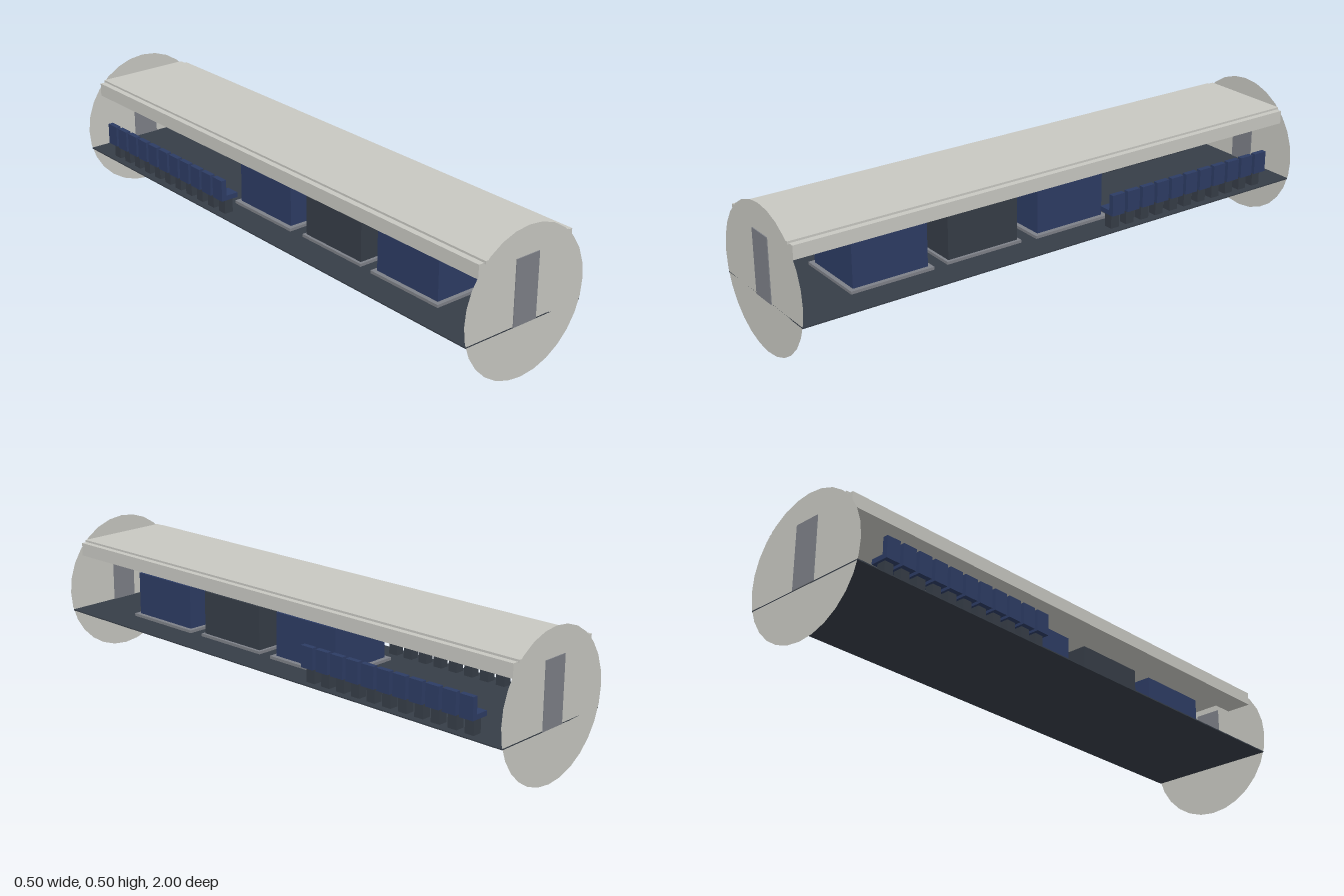
import * as THREE from 'three';

export function createModel() {
  const model = new THREE.Group();
  const mat = (name, color) => {
    const m = new THREE.MeshStandardMaterial({ color });
    m.name = name;
    return m;
  };
  const shell = mat('pale grey panel', 0xc8c8c2);
  const blue = mat('navy blue', 0x2d3c64);
  const dark = mat('dark slate', 0x363d47);
  const grey = mat('mid grey', 0x7e8188);
  shell.side = THREE.DoubleSide;

  // box given by its lower and upper limits on each axis
  function box(name, material, [x0, x1], [y0, y1], [z0, z1], parent = model) {
    const mesh = new THREE.Mesh(new THREE.BoxGeometry(x1 - x0, y1 - y0, z1 - z0), material);
    mesh.position.set((x0 + x1) / 2, (y0 + y1) / 2, (z0 + z1) / 2);
    mesh.name = name;
    parent.add(mesh);
    return mesh;
  }

  // floor
  box('floor', dark, [-0.242, 0.242], [0.18, 0.184], [-0.997, 0.997]);

  // round end walls with doors
  for (const s of [-1, 1]) {
    const wall = new THREE.Mesh(new THREE.CircleGeometry(0.251, 28, Math.PI / 2), shell);
    wall.position.set(0, 0.251, s * 0.997);
    wall.name = 'endWall';
    model.add(wall);
    const z = [s * 0.994, s].sort((a, b) => a - b);
    box('door', grey, [-0.048, 0.048], [0.182, 0.406], z);
  }

  // ceiling with an overhead bin along each side
  box('ceiling', shell, [-0.174, 0.174], [0.428, 0.438], [-0.996, 0.996]);
  box('overheadBin', shell, [0.1, 0.195], [0.384, 0.431], [-0.99, 0.99]);
  box('overheadBin', shell, [-0.195, -0.1], [0.384, 0.431], [-0.99, 0.99]);

  // cabin compartments on low plinths
  const compartments = [
    [0.48, 0.755, blue, 0.015],
    [0.13, 0.402, dark, 0.01],
    [-0.225, 0.047, blue, 0.016],
  ];
  for (const [z0, z1, material, margin] of compartments) {
    const w = 0.12 + margin;
    box('plinth', grey, [-w, w], [0.184, 0.194], [z0 - margin, z1 + margin]);
    box('compartment', material, [-0.12, 0.12], [0.194, 0.348], [z0, z1]);
  }

  // rows of inward-facing seats along both sides
  for (const s of [-1, 1]) {
    const span = (a, b) => (s > 0 ? [a, b] : [-b, -a]);
    for (let i = 0; i < 11; i++) {
      const z = -0.207 - i * 0.065;
      const seat = new THREE.Group();
      seat.name = 'seat';
      box('pedestal', dark, span(0.185, 0.218), [0.184, 0.237], [z - 0.017, z + 0.017], seat);
      box('cushion', blue, span(0.17, 0.236), [0.237, 0.254], [z - 0.026, z + 0.026], seat);
      box('backrest', blue, span(0.217, 0.236), [0.254, 0.312], [z - 0.026, z + 0.026], seat);
      model.add(seat);
    }
  }
  return model;
}
